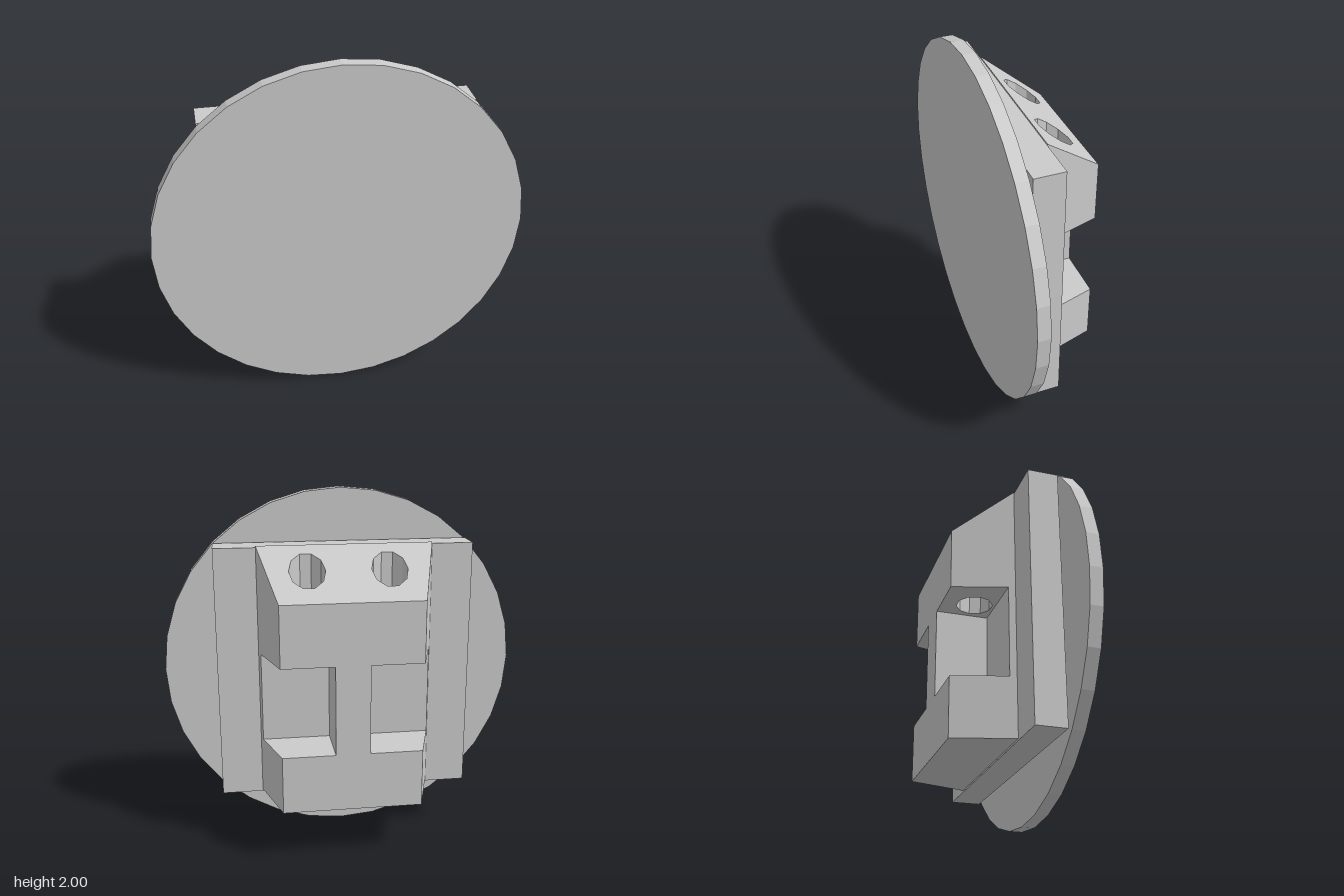
import * as THREE from 'three';

const material = new THREE.MeshStandardMaterial({ color: 0xcccccc, flatShading: true });

const BACK = -0.287, FRONT = 0.035;      // depth range of the mount block
const NOTCH_Z = 0.0, NOTCH_X = 0.095;    // walls of the side notches
const halfWidth = (z) => THREE.MathUtils.mapLinear(z, BACK, FRONT, 0.385, 0.48);

function addMesh(group, name, geometry) {
  const mesh = new THREE.Mesh(geometry, material);
  mesh.name = name;
  group.add(mesh);
  return mesh;
}

// Plan outline mirrored in x, from [x, z] points running front to back
function planShape(points) {
  const right = points.map(([x, z]) => new THREE.Vector2(x, -z));
  const left = points.map(([x, z]) => new THREE.Vector2(-x, -z)).reverse();
  return new THREE.Shape([...right, ...left]);
}

// Extrude a plan outline upward between two heights
function layer(shape, y0, y1) {
  const geometry = new THREE.ExtrudeGeometry(shape, { depth: y1 - y0, bevelEnabled: false });
  return geometry.rotateX(-Math.PI / 2).translate(0, y0, 0);
}

export function createModel() {
  const model = new THREE.Group();
  model.name = 'discMount';

  // Round front disc
  const disc = new THREE.CylinderGeometry(1, 1, 0.07, 32).rotateX(Math.PI / 2);
  addMesh(model, 'frontDisc', disc).position.set(0, 1, 0.252);

  // Square backing plate, set just behind the disc
  const plate = new THREE.BoxGeometry(1.416, 1.416, 0.165);
  addMesh(model, 'backingPlate', plate).position.set(0, 1.003, 0.1175);

  // Tapered mount block: solid base, notched waist, drilled sloping head
  const block = new THREE.Group();
  block.name = 'mountBlock';
  model.add(block);

  const taper = [[halfWidth(FRONT), FRONT], [halfWidth(BACK), BACK]];
  addMesh(block, 'blockBase', layer(planShape(taper), 0.305, 0.63));

  const waist = [
    [halfWidth(FRONT), FRONT], [halfWidth(NOTCH_Z), NOTCH_Z],
    [NOTCH_X, NOTCH_Z], [NOTCH_X, BACK],
  ];
  addMesh(block, 'blockWaist', layer(planShape(waist), 0.63, 1.13));

  // Ten-sided holes run down through the head into the notches
  const headShape = planShape(taper);
  for (const side of [-1, 1]) {
    const hole = [];
    for (let i = 0; i < 10; i++) {
      const a = (i / 10) * Math.PI * 2;
      hole.push(new THREE.Vector2(side * 0.22 + 0.098 * Math.cos(a), 0.11 + 0.098 * Math.sin(a)));
    }
    headShape.holes.push(new THREE.Path(hole));
  }
  const head = layer(headShape, 1.13, 1.72);
  const p = head.attributes.position;
  for (let i = 0; i < p.count; i++) {
    // Slope the top down toward the back
    if (p.getY(i) > 1.5) p.setY(i, THREE.MathUtils.mapLinear(p.getZ(i), BACK, FRONT, 1.47, 1.72));
  }
  head.computeVertexNormals();
  addMesh(block, 'blockHead', head);

  return model;
}
